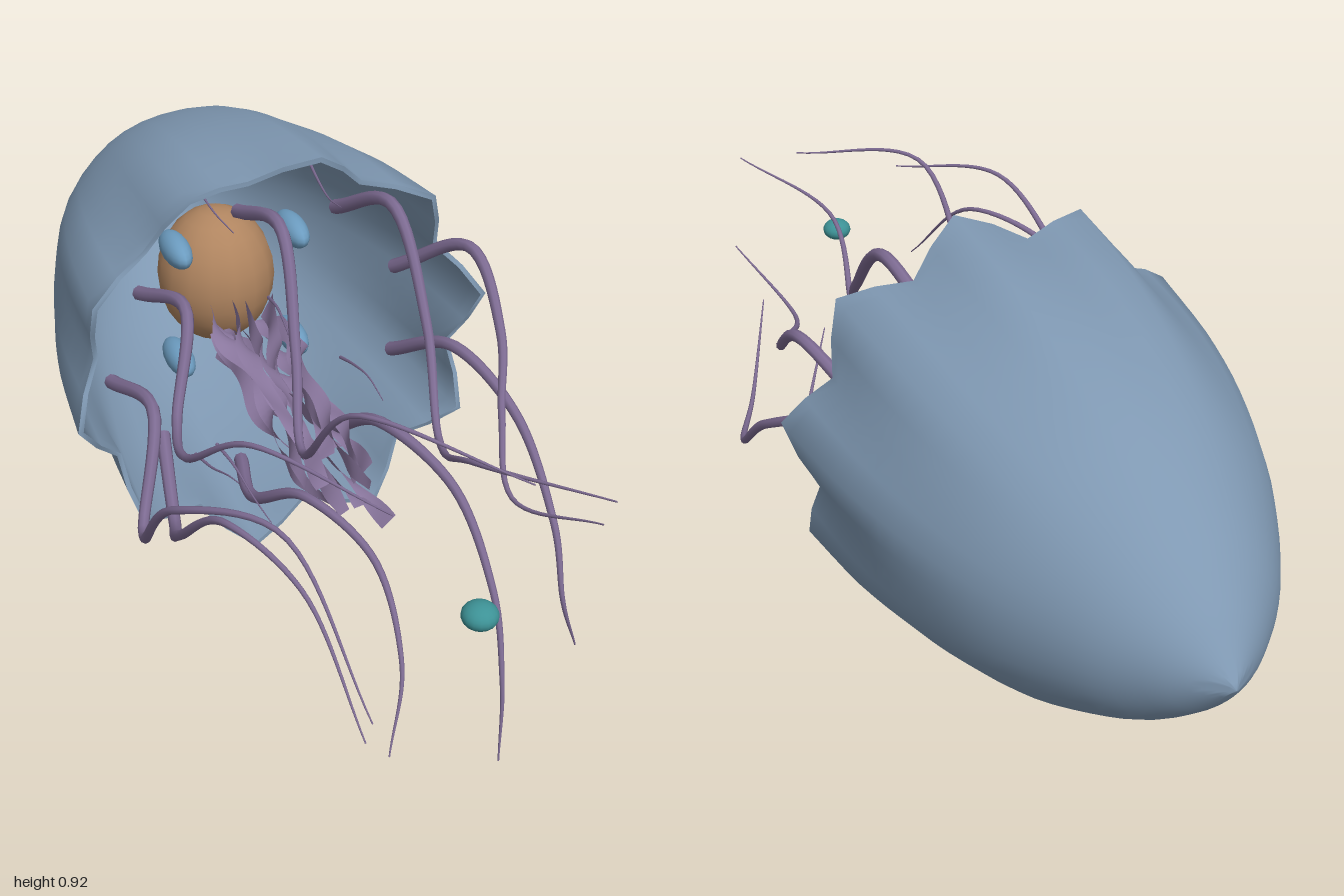
import * as THREE from 'three';
import { toCreasedNormals } from 'three/addons/utils/BufferGeometryUtils.js';
import { ParametricGeometry } from 'three/addons/geometries/ParametricGeometry.js';

const material = (color, side = THREE.FrontSide) => new THREE.MeshStandardMaterial({ color, side });
const bellMat = material(0x7f98b2);
const purple = material(0x7d6b92);
const ribbonMat = material(0x8a779e, THREE.DoubleSide);
const CY = 0.465; // height of the bell's axis, which runs along z

function add(parent, name, geometry, mat) {
  const mesh = new THREE.Mesh(geometry, mat);
  mesh.name = name;
  parent.add(mesh);
  return mesh;
}

function addGroup(parent, name) {
  const group = new THREE.Group();
  group.name = name;
  parent.add(group);
  return group;
}

// Tube whose radius shrinks from r0 to r1 along its path
function taperedTube(points, r0, r1, segments = 48, sides = 8) {
  const curve = new THREE.CatmullRomCurve3(points);
  const geo = new THREE.TubeGeometry(curve, segments, 1, sides);
  const pos = geo.attributes.position;
  const p = new THREE.Vector3();
  for (let i = 0; i < pos.count; i++) {
    const t = Math.floor(i / (sides + 1)) / segments;
    const centre = curve.getPointAt(t);
    p.fromBufferAttribute(pos, i).sub(centre).multiplyScalar(r0 + (r1 - r0) * t).add(centre);
    pos.setXYZ(i, p.x, p.y, p.z);
  }
  return geo;
}

function ellipsoid(parent, name, [x, y, z], [rx, ry, rz], mat) {
  const mesh = add(parent, name, new THREE.SphereGeometry(1, 16, 12), mat);
  mesh.position.set(x, y, z);
  mesh.scale.set(rx, ry, rz);
}

// Thin-walled bell with ten flutes that fade toward the apex
function bellGeometry() {
  const profile = [[0, -1], [0.065, -0.952], [0.13, -0.895], [0.219, -0.79], [0.324, -0.6],
    [0.39, -0.4], [0.425, -0.2], [0.439, 0.003]].map(p => new THREE.Vector2(...p));
  const outer = new THREE.SplineCurve(profile).getPoints(28);
  const inner = outer.map((p, i) =>
    new THREE.Vector2(Math.max(0, p.x - 0.011), p.y + 0.03 * (1 - i / 28) ** 2)).reverse();
  const geo = new THREE.LatheGeometry([...outer, ...inner], 40);
  geo.rotateX(Math.PI / 2);
  const pos = geo.attributes.position;
  for (let i = 0; i < pos.count; i++) {
    const x = pos.getX(i), y = pos.getY(i), z = pos.getZ(i);
    const wave = Math.cos(10 * (Math.atan2(y, x) - Math.PI / 20));
    const s = 1 + 0.064 * wave * Math.max(0, (z + 0.8) / 0.8) ** 2;
    pos.setXYZ(i, x * s, y * s, z + 0.028 * wave * Math.max(0, (z + 0.2) / 0.2));
  }
  return toCreasedNormals(geo, 1.1);
}

export function createModel() {
  const model = new THREE.Group();
  model.name = 'jellyfish';

  add(model, 'bell', bellGeometry(), bellMat).position.y = CY;

  // Core, four glowing organs around it, and the lure in front
  ellipsoid(model, 'core', [0, 0.455, -0.42], [0.135, 0.163, 0.135], material(0xb08560));
  const organMat = material(0x6c9cc0);
  for (const x of [-0.137, 0.137])
    for (const y of [0.328, 0.602])
      ellipsoid(model, 'organ', [x, y, -0.29], [0.031, 0.034, 0.075], organMat);
  ellipsoid(model, 'lure', [0, CY, 0.94], [0.034, 0.025, 0.034], material(0x3d9296));

  // Nine long tentacles: x, y pairs at shared depths
  const depths = [-0.1, 0.1, 0.3, 0.5, 0.72, 0.99];
  const paths = [
    [0.30, 0.57, 0.39, 0.69, 0.38, 0.58, 0.30, 0.50, 0.23, 0.44, 0.29, 0.52],
    [0.16, 0.74, 0.20, 0.83, 0.19, 0.66, 0.13, 0.52, 0.09, 0.62, 0.22, 0.68],
    [-0.06, 0.77, -0.04, 0.82, -0.08, 0.64, -0.14, 0.54, -0.12, 0.74, 0.10, 0.70],
    [-0.28, 0.62, -0.24, 0.67, -0.32, 0.53, -0.36, 0.56, -0.30, 0.69, -0.13, 0.65],
    [-0.35, 0.42, -0.32, 0.46, -0.41, 0.31, -0.41, 0.50, -0.28, 0.56, -0.22, 0.33],
    [-0.24, 0.26, -0.28, 0.16, -0.33, 0.27, -0.30, 0.42, -0.22, 0.38, -0.20, 0.22],
    [-0.06, 0.15, -0.10, 0.18, -0.05, 0.28, 0.03, 0.22, 0.01, 0.11, -0.12, 0.10],
    [0.16, 0.18, 0.19, 0.31, 0.27, 0.25, 0.27, 0.12, 0.18, 0.09, 0.03, 0.16],
    [0.30, 0.36, 0.36, 0.46, 0.42, 0.38, 0.42, 0.23, 0.33, 0.21, 0.21, 0.32],
  ];
  const tentacles = addGroup(model, 'tentacles');
  paths.forEach((xy, k) => {
    const reach = 1 - 0.07 * ((k + 2) % 3);
    const pts = depths.map((z, i) =>
      new THREE.Vector3(xy[2 * i], xy[2 * i + 1], z > 0 ? z * reach : z));
    add(tentacles, 'tentacle', taperedTube(pts, 0.016, 0.0015), purple);
  });

  // Hair-thin filaments: x, y and the depth where each one ends
  const filaments = addGroup(model, 'filaments');
  [[-0.13, 0.81, 0.02], [0.13, 0.81, 0.02], [0.12, 0.12, 0.02], [-0.11, 0.13, 0.02],
    [0.15, 0.42, 0.2], [-0.03, 0.58, 0.2], [-0.17, 0.32, 0.34]].forEach(([x, y, end], k) => {
    const pts = [0, 1, 2, 3].map(i => new THREE.Vector3(
      x + 0.012 * (i - 1.5) * Math.cos(k * 2), y + 0.025 * Math.cos(i * 1.1 + k), end - 0.08 * (3 - i)));
    add(filaments, 'filament', taperedTube(pts, 0.004, 0.001, 16, 5), purple);
  });

  // Bundle of ruffled, twisting oral arms trailing from the core
  const arms = addGroup(model, 'oralArms');
  const count = 11;
  for (let k = 0; k < count; k++) {
    const a = (k / count) * Math.PI * 2;
    const length = 0.54 + 0.2 * ((k * 3) % count) / (count - 1);
    const ribbon = (u, v, target) => {
      const spread = 0.045 + 0.02 * Math.sin(u * 5 + k * 2);
      const twist = a + 2.5 * u + 0.6 * Math.sin(u * 14 + k);
      const half = (v - 0.5) * (0.05 - 0.02 * u) * (1 + 0.3 * Math.sin(u * 20 + k));
      target.set(
        1.2 * spread * Math.cos(a + u * 1.5) + half * Math.cos(twist) + 0.01 * Math.sin(u * 8 + k),
        0.39 - 0.03 * u + spread * Math.sin(a + u * 1.5) + half * Math.sin(twist),
        -0.28 + length * u);
    };
    add(arms, 'oralArm', new ParametricGeometry(ribbon, 40, 3), ribbonMat);
  }

  return model;
}
